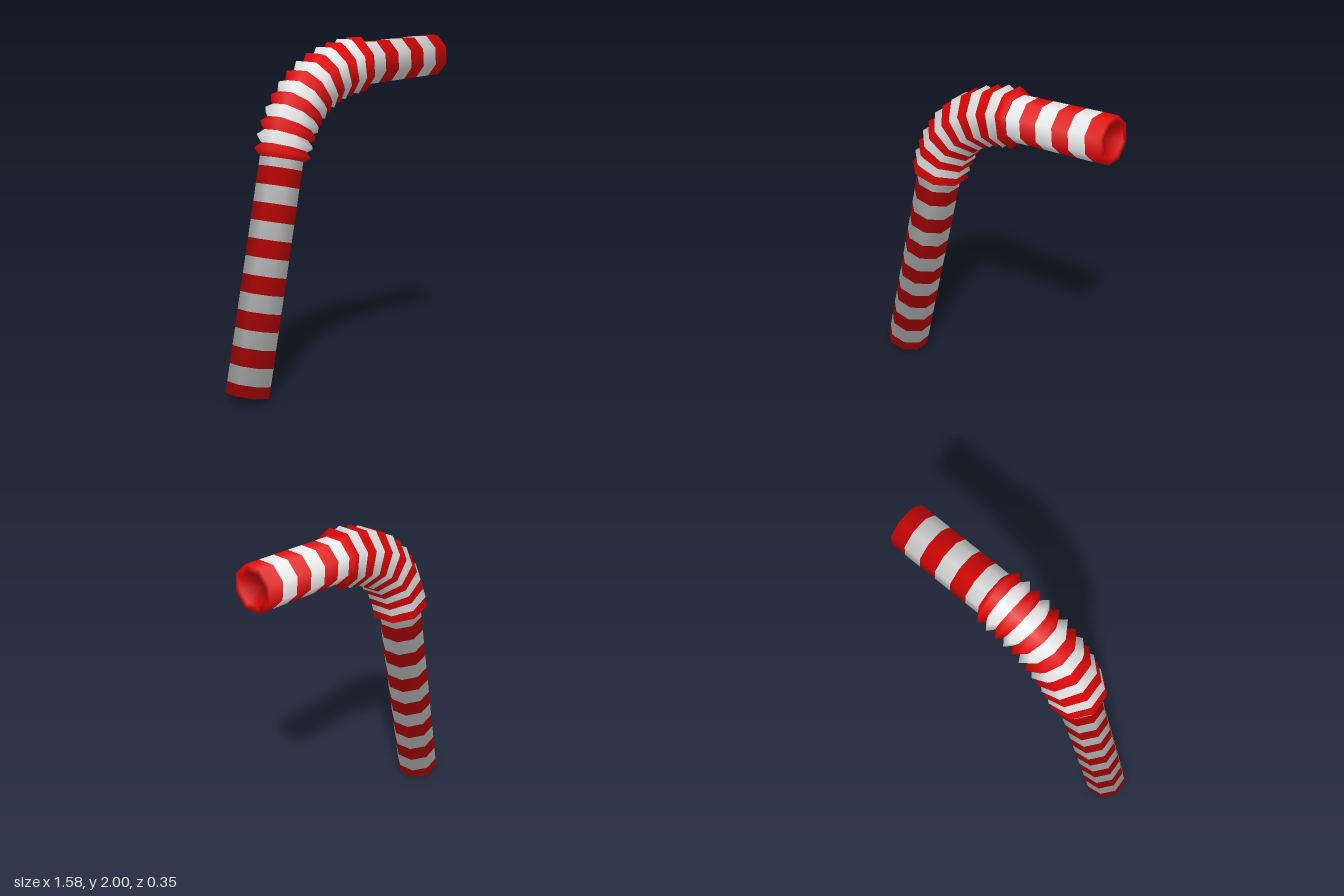
import * as THREE from 'three';

const SIDES = 8;
const TUBE = 0.129, VALLEY = 0.134, PEAK = 0.17, HOLE = 0.09;
// Lean of the smooth normals along the axis, shared between neighbouring parts
const RIM_LEAN = Math.PI / 4, COLLAR_LEAN = 0.45;

const red = new THREE.MeshStandardMaterial({ color: 0xde0707 });
red.name = 'red';
const white = new THREE.MeshStandardMaterial({ color: 0xe6e6e6 });
white.name = 'white';

// Smooth skin between octagonal rings { c: centre, t: direction, r: radius, lean: normal angle }
function band(rings) {
  const pos = [], nor = [], index = [];
  for (const { c, t, r, lean } of rings) {
    const u = new THREE.Vector3(0, 0, 1).addScaledVector(t, -t.z).normalize();
    const v = new THREE.Vector3().crossVectors(t, u);
    for (let i = 0; i < SIDES; i++) {
      const a = ((i + 0.5) / SIDES) * Math.PI * 2;
      const radial = u.clone().multiplyScalar(Math.cos(a)).addScaledVector(v, Math.sin(a));
      pos.push(...c.clone().addScaledVector(radial, r).toArray());
      nor.push(...radial.multiplyScalar(Math.cos(lean)).addScaledVector(t, Math.sin(lean)).toArray());
    }
  }
  for (let k = 0; k < rings.length - 1; k++) {
    for (let i = 0; i < SIDES; i++) {
      const j = (i + 1) % SIDES, a = k * SIDES, b = a + SIDES;
      index.push(a + i, a + j, b + j, a + i, b + j, b + i);
    }
  }
  const g = new THREE.BufferGeometry();
  g.setAttribute('position', new THREE.Float32BufferAttribute(pos, 3));
  g.setAttribute('normal', new THREE.Float32BufferAttribute(nor, 3));
  g.setIndex(index);
  return g;
}

function addBand(group, name, material, rings) {
  const mesh = new THREE.Mesh(band(rings), material);
  mesh.name = name;
  group.add(mesh);
}

// Straight striped tube; stops are distances along it, leans are for its two ends
function stripedTube(name, from, to, stops, firstRed, leans) {
  const group = new THREE.Group();
  group.name = name;
  const length = from.distanceTo(to);
  const t = to.clone().sub(from).normalize();
  const at = (d) => ({
    c: from.clone().addScaledVector(t, d), t, r: TUBE,
    lean: THREE.MathUtils.lerp(leans[0], leans[1], d / length),
  });
  const cuts = [0, ...stops, length];
  for (let i = 0; i < cuts.length - 1; i++) {
    const isRed = (i % 2 === 0) === firstRed;
    addBand(group, isRed ? 'redStripe' : 'whiteStripe', isRed ? red : white, [at(cuts[i]), at(cuts[i + 1])]);
  }
  return group;
}

// Rim and hollow of an open end; out is -1 at the start of the straw, +1 at its finish
function openEnd(name, end, t, out) {
  const group = new THREE.Group();
  group.name = name;
  const deep = end.clone().addScaledVector(t, -out * 0.08);
  const outer = { c: end, t, r: TUBE, lean: out * RIM_LEAN };
  const inner = { c: end, t, r: HOLE, lean: out * Math.PI * 0.75 };
  const apex = { c: deep, t, r: 0, lean: -out * Math.PI / 2 };
  addBand(group, 'rim', red, out > 0 ? [outer, inner] : [inner, outer]);
  addBand(group, 'hollow', red, out > 0 ? [inner, apex] : [apex, inner]);
  return group;
}

export function createModel() {
  const model = new THREE.Group();
  model.name = 'bendyStraw';

  const bottom = new THREE.Vector3(-0.675, 0.03, 0.006);
  const bendStart = new THREE.Vector3(-0.393, 1.315, -0.016);
  const bendEnd = new THREE.Vector3(0.19, 1.832, 0.02);
  const mouth = new THREE.Vector3(0.779, 1.88, 0.057);

  // Long lower tube
  const lowerStops = [0.065];
  for (let i = 0; i < 6; i++) lowerStops.push(0.165 + i * 0.2, 0.265 + i * 0.2);
  model.add(stripedTube('lowerTube', bottom, bendStart, lowerStops, true, [-RIM_LEAN, -COLLAR_LEAN]));

  // Short upper tube
  const upperStops = [0.09, 0.192, 0.295, 0.397, 0.5];
  model.add(stripedTube('upperTube', bendEnd, mouth, upperStops, false, [COLLAR_LEAN, RIM_LEAN]));

  // Corrugated bend: one colour per fold
  const bend = new THREE.Group();
  bend.name = 'corrugatedBend';
  const curve = new THREE.QuadraticBezierCurve3(bendStart, new THREE.Vector3(-0.287, 1.79, -0.024), bendEnd);
  const FOLDS = 13;
  const ring = (s, r, lean) => ({ c: curve.getPointAt(s), t: curve.getTangentAt(s), r, lean });
  const valley = (i) => {
    if (i === 0) return ring(0, TUBE, -COLLAR_LEAN);
    if (i === FOLDS) return ring(1, TUBE, COLLAR_LEAN);
    return ring(i / FOLDS, VALLEY, 0);
  };
  for (let i = 0; i < FOLDS; i++) {
    const peak = ring((i + 0.5) / FOLDS, PEAK, 0);
    addBand(bend, 'fold', i % 2 ? white : red, [valley(i), peak, valley(i + 1)]);
  }
  model.add(bend);

  // Open ends
  model.add(openEnd('bottomOpening', bottom, bendStart.clone().sub(bottom).normalize(), -1));
  model.add(openEnd('mouthOpening', mouth, mouth.clone().sub(bendEnd).normalize(), 1));

  return model;
}
